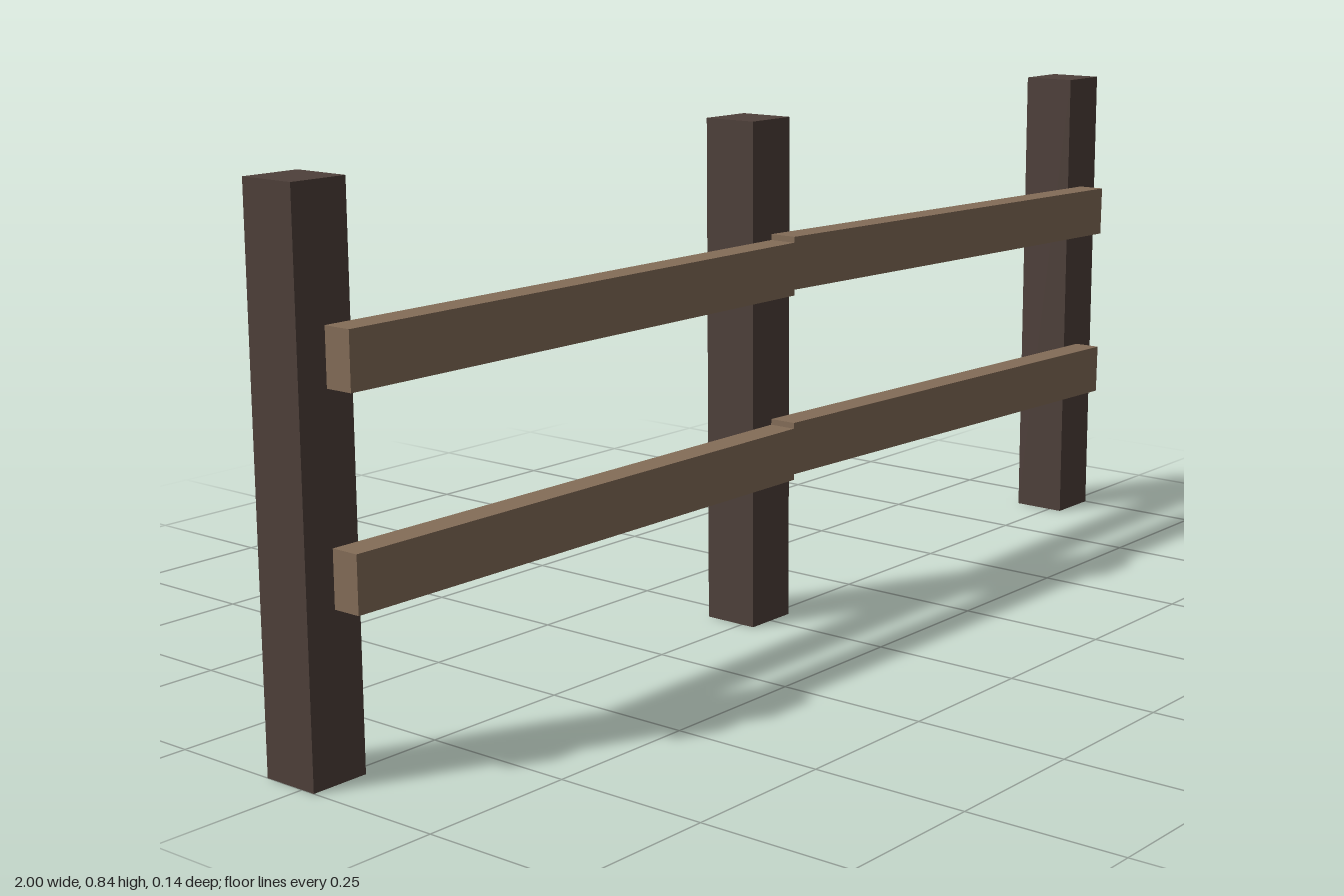
import * as THREE from 'three';

export function createModel() {
  const fence = new THREE.Group();
  fence.name = 'fence';

  const postWood = new THREE.MeshStandardMaterial({ color: 0x4e403a });
  postWood.name = 'dark post wood';
  const railWood = new THREE.MeshStandardMaterial({ color: 0x846d58 });
  railWood.name = 'light rail wood';

  const addBoard = (name, geometry, material, x, y, z, tilt = 0) => {
    const board = new THREE.Mesh(geometry, material);
    board.name = name;
    board.position.set(x, y, z);
    board.rotation.z = tilt;
    fence.add(board);
  };

  // Three square upright posts
  const postSize = 0.095, postHeight = 0.836;
  const postGeometry = new THREE.BoxGeometry(postSize, postHeight, postSize);
  const postX = 1 - postSize / 2;
  [['rightPost', -postX], ['middlePost', 0], ['leftPost', postX]].forEach(([name, x]) =>
    addBoard(name, postGeometry, postWood, x, postHeight / 2, -0.0235));

  // Two rails per bay on the front of the posts; the left bay sags slightly
  const railGeometry = new THREE.BoxGeometry(0.951, 0.086, 0.047);
  [['upper', 0.598], ['lower', 0.292]].forEach(([level, y]) => {
    addBoard(level + 'RightRail', railGeometry, railWood, -0.475, y, 0.0475);
    addBoard(level + 'LeftRail', railGeometry, railWood, 0.475, y - 0.0005, 0.0475, -0.021);
  });

  return fence;
}
